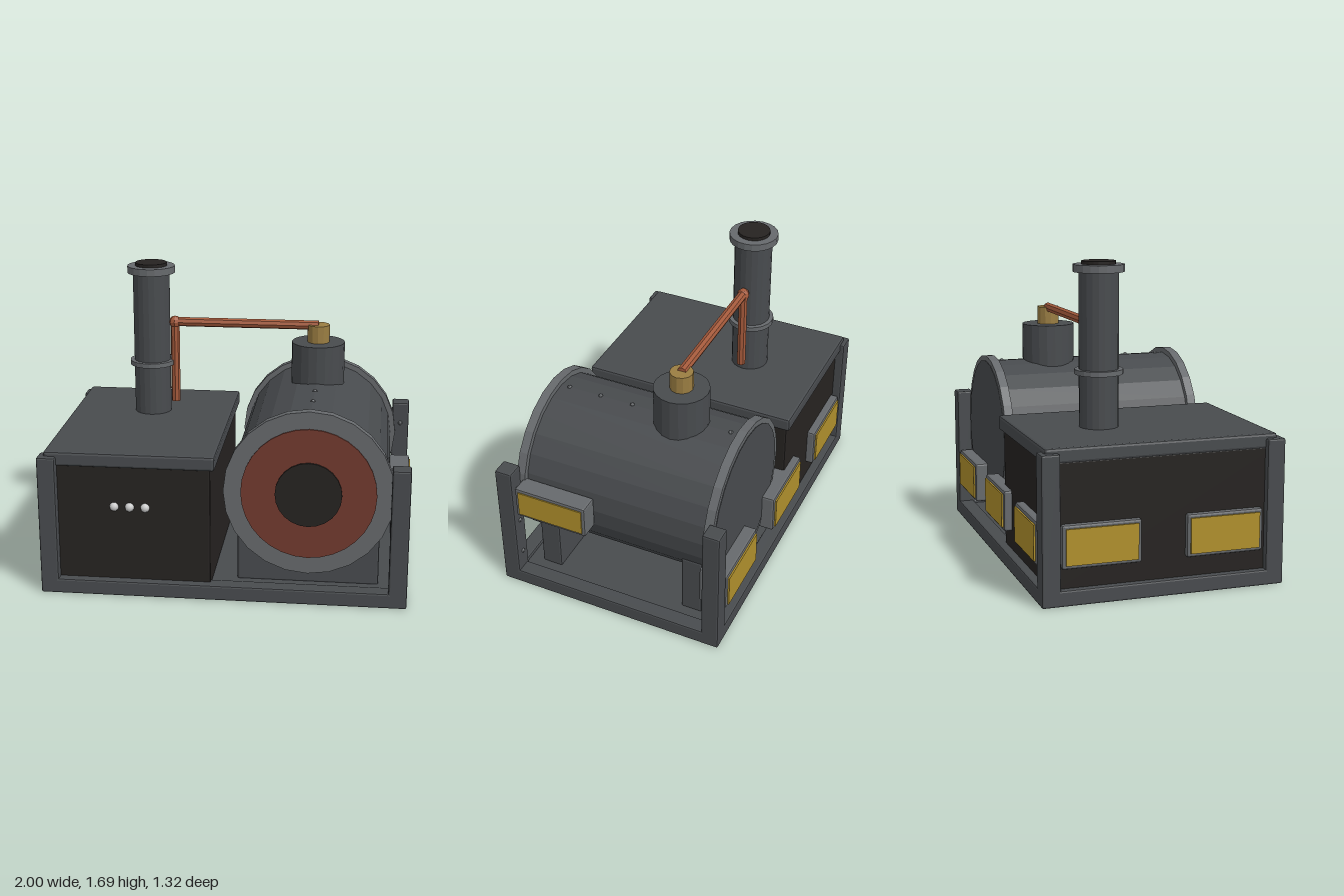
import * as THREE from 'three';
import { RoundedBoxGeometry } from 'three/addons/geometries/RoundedBoxGeometry.js';

const mat = (color, flatShading = true) => new THREE.MeshStandardMaterial({ color, flatShading });
const iron = mat(0x484b4e), steel = mat(0x66696c), black = mat(0x262321);
const copper = mat(0xa3593b), brass = mat(0x9a7d42), red = mat(0x723a2e);
const yellow = mat(0xb0902c), silver = mat(0xcccccc, false);

export function createModel() {
  const model = new THREE.Group();

  const add = (name, geometry, material, x, y, z, parent = model) => {
    const mesh = new THREE.Mesh(geometry, material);
    mesh.name = name;
    mesh.position.set(x, y, z);
    parent.add(mesh);
    return mesh;
  };
  // Softly bevelled box given by its limits on each axis
  const box = (name, material, [x0, x1], [y0, y1], [z0, z1], bevel = 0.01) =>
    add(name, new RoundedBoxGeometry(x1 - x0, y1 - y0, z1 - z0, 1, bevel), material,
      (x0 + x1) / 2, (y0 + y1) / 2, (z0 + z1) / 2);
  // Upright cylinder between two heights
  const post = (name, material, r, x, z, y0, y1, sides = 20) =>
    add(name, new THREE.CylinderGeometry(r, r, y1 - y0, sides), material, x, (y0 + y1) / 2, z);
  // Cylinder lying along z
  const drum = (name, material, r, x, y, z0, z1, sides = 24) => {
    const mesh = add(name, new THREE.CylinderGeometry(r, r, z1 - z0, sides), material, x, y, (z0 + z1) / 2);
    mesh.rotation.x = Math.PI / 2;
    return mesh;
  };

  // Base tray with raised rails
  box('baseFloor', iron, [-0.98, 0.98], [0, 0.065], [-0.64, 0.64]);
  for (const s of [-1, 1]) {
    const span = (a, b) => (s > 0 ? [a, b] : [-b, -a]);
    box('longRail', iron, [-1, 1], [0, 0.085], span(0.57, 0.66));
    box('sideRail', iron, span(0.91, 1), [0, 0.085], [-0.66, 0.66]);
    // Corner posts with bolts on their inner faces
    for (const t of [-1, 1]) {
      const depth = t > 0 ? [0.56, 0.66] : [-0.66, -0.56];
      box('cornerPost', iron, span(0.9, 1), [0, 0.785], depth);
      for (const y of [0.2, 0.43, 0.66])
        add('postBolt', new THREE.SphereGeometry(0.013, 8, 6), steel, s * 0.95, y, t * 0.56);
    }
  }

  // Firebox, lid and indicator studs
  box('firebox', black, [-0.965, -0.065], [0.06, 0.74], [-0.61, 0.61]);
  box('fireboxLid', iron, [-0.97, -0.04], [0.73, 0.81], [-0.635, 0.625], 0.014);
  for (const x of [-0.59, -0.505, -0.42])
    add('indicatorStud', new THREE.SphereGeometry(0.025, 12, 8), silver, x, 0.505, 0.61);

  // Boiler with end flanges and front door
  const bx = 0.46, by = 0.61;
  drum('boilerBarrel', iron, 0.43, bx, by, -0.55, 0.55);
  drum('frontFlange', steel, 0.46, bx, by, 0.53, 0.58);
  drum('backFlange', steel, 0.46, bx, by, -0.58, -0.53);
  drum('boilerBack', iron, 0.43, bx, by, -0.583, -0.57);
  drum('boilerDoor', red, 0.365, bx, by, 0.57, 0.588, 32);
  drum('doorCentre', black, 0.18, bx, by, 0.57, 0.6);
  for (let i = 0; i < 6; i++)
    add('boilerRivet', new THREE.SphereGeometry(0.013, 8, 6), steel, bx, by + 0.428, -0.485 + i * 0.193);
  for (const z of [-0.435, 0.435])
    box('boilerSaddle', iron, [0.07, 0.845], [0.06, 0.42], [z - 0.06, z + 0.06]);

  // Steam dome and valve
  const pz = -0.2;
  post('steamDome', iron, 0.152, bx, pz, 0.95, 1.25);
  post('steamValve', brass, 0.064, bx, pz, 1.25, 1.35, 12);

  // Chimney with collars
  const cx = -0.505;
  post('chimney', iron, 0.106, cx, pz, 0.8, 1.65);
  post('chimneyBand', steel, 0.13, cx, pz, 1.093, 1.12);
  post('chimneyCollar', steel, 0.137, cx, pz, 1.632, 1.672);
  post('chimneyMouth', black, 0.091, cx, pz, 1.66, 1.69);

  // Copper steam pipe
  post('pipeDrop', copper, 0.026, -0.37, pz, 0.87, 1.36, 8);
  const run = post('pipeRun', copper, 0.027, 0, pz, 0, 0.83, 8);
  run.rotation.z = Math.PI / 2;
  run.position.set(0.045, 1.345, pz);
  add('pipeElbow', new THREE.SphereGeometry(0.036, 8, 6), copper, -0.37, 1.343, pz);

  // Lamps: deep housing with a yellow pane, facing local +z
  const lamp = (x, y, z, turn, height) => {
    const group = new THREE.Group();
    group.name = 'lamp';
    add('lampHousing', new RoundedBoxGeometry(0.425, height, 0.16, 1, 0.012), steel, 0, 0, -0.09, group);
    add('lampPane', new THREE.BoxGeometry(0.385, height - 0.04, 0.03), yellow, 0, 0, -0.016, group);
    group.position.set(x, y, z);
    group.rotation.y = turn;
    model.add(group);
    return group;
  };
  for (const x of [-0.67, -0.01, 0.67]) lamp(x, 0.305, -0.665, Math.PI, 0.23);
  for (const z of [-0.34, 0.33]) lamp(-1, 0.305, z, -Math.PI / 2, 0.23);
  lamp(1, 0.6, 0.335, Math.PI / 2, 0.19).scale.z = 0.68;

  return model;
}
